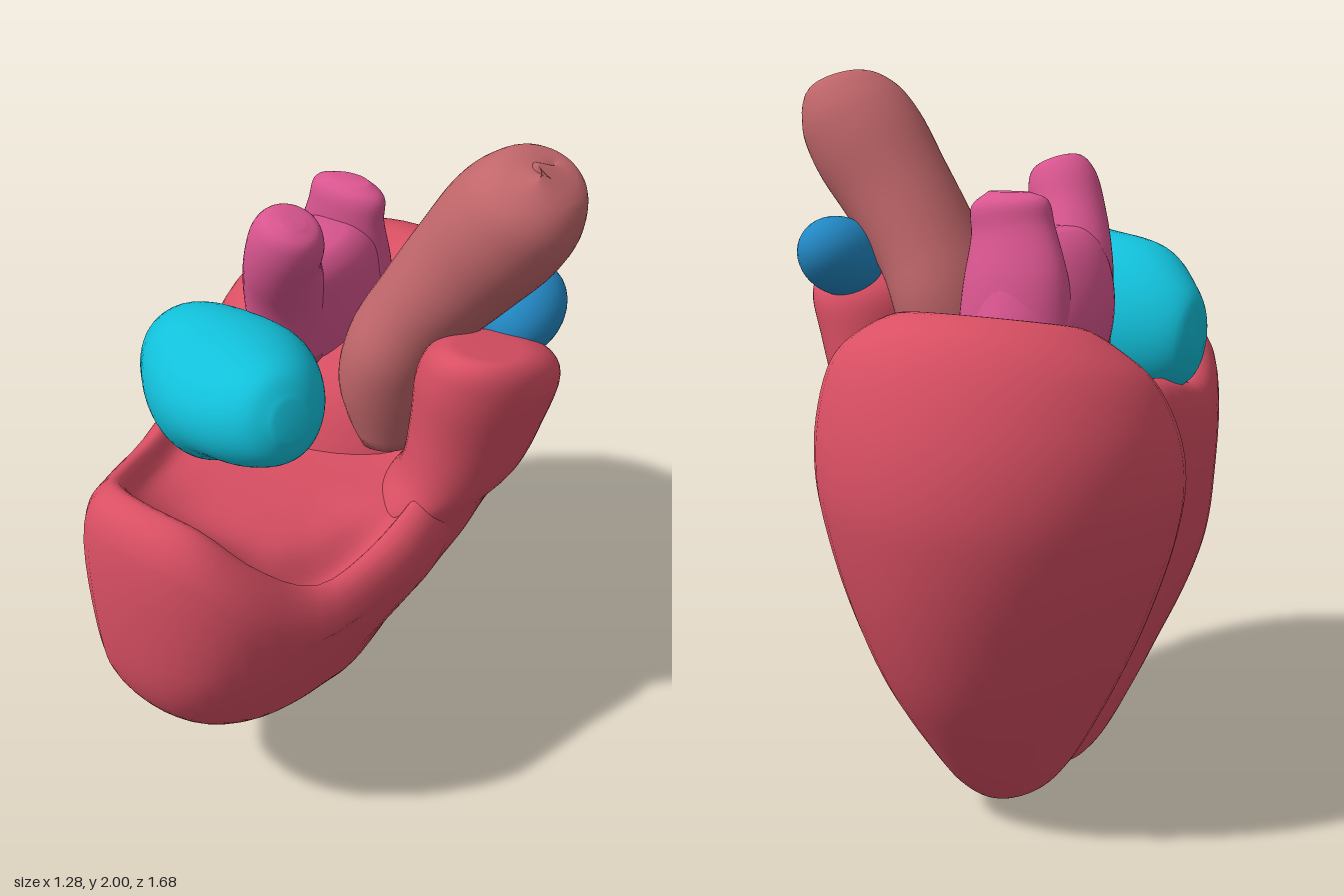
import * as THREE from 'three';

const V = (x, y, z) => new THREE.Vector3(x, y, z);
const N = 48;

// Smooth skin through rings of N points, closed at both ends
function loft(name, color, rings, steps = 5) {
  const cols = [];
  for (let i = 0; i < N; i++) {
    cols.push(new THREE.CatmullRomCurve3(rings.map(r => r[i]), false, 'centripetal'));
  }
  const rows = (rings.length - 1) * steps;
  const pos = [], index = [];
  for (let j = 0; j <= rows; j++) for (const c of cols) pos.push(...c.getPoint(j / rows).toArray());
  const id = (j, i) => j * N + (i % N);
  for (let j = 0; j < rows; j++) for (let i = 0; i < N; i++) {
    index.push(id(j, i), id(j, i + 1), id(j + 1, i), id(j, i + 1), id(j + 1, i + 1), id(j + 1, i));
  }
  for (const j of [0, rows]) {
    const mid = V(0, 0, 0);
    for (let i = 0; i < N; i++) mid.add(V(...pos.slice(id(j, i) * 3, id(j, i) * 3 + 3)));
    const m = pos.length / 3;
    pos.push(...mid.divideScalar(N).toArray());
    for (let i = 0; i < N; i++) {
      if (j) index.push(id(j, i), id(j, i + 1), m);
      else index.push(id(j, i + 1), id(j, i), m);
    }
  }
  // Turn the faces outward if the signed volume is negative
  let vol = 0;
  const at = k => V(pos[k * 3], pos[k * 3 + 1], pos[k * 3 + 2]);
  for (let k = 0; k < index.length; k += 3) vol += at(index[k]).dot(at(index[k + 1]).cross(at(index[k + 2])));
  if (vol < 0) index.reverse();
  const geo = new THREE.BufferGeometry();
  geo.setAttribute('position', new THREE.Float32BufferAttribute(pos, 3));
  geo.setIndex(index);
  geo.computeVertexNormals();
  const mesh = new THREE.Mesh(geo, new THREE.MeshStandardMaterial({ color }));
  mesh.name = name;
  return mesh;
}

// Level ring from its extents, tilted along z
function levelRing([y, x0, x1, z0, z1, tilt = 0, z = 0]) {
  return Array.from({ length: N }, (_, i) => {
    const a = i / N * Math.PI * 2;
    const p = V((x0 + x1) / 2 + Math.cos(a) * (x1 - x0) / 2, y, (z0 + z1) / 2 + Math.sin(a) * (z1 - z0) / 2);
    p.y += tilt * (p.z - z);
    return p;
  });
}

// Vessel along a path of [x, y, z, radius in the xy plane, radius in z]
function vessel(name, color, path) {
  const pts = path.map(p => V(p[0], p[1], p[2]));
  const rings = path.map((p, k) => {
    const t = pts[Math.min(k + 1, pts.length - 1)].clone().sub(pts[Math.max(k - 1, 0)]).normalize();
    const u = V(0, 0, 1).cross(t).normalize(), w = t.clone().cross(u);
    return Array.from({ length: N }, (_, i) => {
      const a = i / N * Math.PI * 2;
      return pts[k].clone().addScaledVector(u, Math.cos(a) * p[3]).addScaledVector(w, Math.sin(a) * p[4]);
    });
  });
  return loft(name, color, rings);
}

// Front chamber: one plan outline fitted to each level, then a wavy rim and a sunken floor
function frontChamber(color) {
  const outline = [
    [-.45, .1, 1.15], [-.43, .4, 1.1], [-.36, .62, 1.15], [-.26, .78, 1.22], [-.1, .83, 1.24],
    [.08, .82, 1.22], [.22, .74, 1.1], [.32, .56, .97], [.38, .35, .99], [.43, .15, 1.08],
    [.4, -.1, 1.1], [.2, -.27, 1.15], [-.1, -.25, 1.15], [-.35, -.1, 1.15],
  ];
  const curve = new THREE.CatmullRomCurve3(outline.map(p => V(p[0], p[2], p[1])), true);
  const plan = Array.from({ length: N }, (_, i) => curve.getPoint(i / N));
  const levels = [
    [0, -.18, -.13, -.03, .03], [.02, -.21, -.08, -.07, .08], [.07, -.25, .0, -.1, .2],
    [.2, -.3, .09, -.16, .4], [.3, -.33, .14, -.19, .54], [.45, -.38, .21, -.22, .7],
    [.6, -.42, .29, -.25, .79], [.78, -.44, .38, -.26, .83],
  ];
  const rings = levels.map(([y, x0, x1, z0, z1]) => plan.map(p => V(
    x0 + (p.x + .45) / .88 * (x1 - x0), y, z0 + (p.z + .27) / 1.1 * (z1 - z0))));
  // Inset toward the middle, drop below the rim, share of floor height
  const rim = [[0, .1, 0], [.06, .02, 0], [.15, 0, 0], [.25, .06, .2], [.45, .06, .8], [.8, 0, 1]];
  for (const [inset, drop, floor] of rim) rings.push(plan.map(p => V(
    THREE.MathUtils.lerp(p.x, 0, inset),
    THREE.MathUtils.lerp(p.y - drop, 1.02, floor),
    THREE.MathUtils.lerp(p.z, .2, inset))));
  return loft('frontChamber', color, rings);
}

export function createModel() {
  const g = new THREE.Group();
  g.name = 'heart';
  const red = 0xd94f63, pink = 0xd9558f, brown = 0xc0666a, cyan = 0x12c0da, blue = 0x2288c4;

  // Rear chamber with a dimple on top
  g.add(loft('rearChamber', red, [
    [.03, -.2, -.12, -.36, -.24], [.05, -.25, -.06, -.42, -.12], [.1, -.29, -.0, -.48, -.03],
    [.2, -.35, .06, -.56, .03], [.4, -.46, .16, -.69, .08], [.6, -.55, .24, -.77, .11],
    [.8, -.62, .3, -.82, .12], [.95, -.645, .33, -.837, .12], [1.1, -.63, .33, -.815, .08, -.06, -.5],
    [1.25, -.565, .29, -.75, .02, -.15, -.5], [1.34, -.48, .2, -.68, -.05, -.2, -.55],
    [1.39, -.38, .1, -.58, -.14, -.2, -.55], [1.36, -.3, .02, -.49, -.22, -.1, -.5], [1.27, -.24, -.05, -.42, -.28],
  ].map(levelRing)));

  g.add(frontChamber(red));

  // Upright lobe on the left side
  g.add(loft('sideLobe', red, [
    [.45, .0, .16, -.1, .1], [.6, .0, .28, -.2, .17], [.8, .08, .39, -.25, .2], [1.0, .18, .475, -.27, .2],
    [1.1, .23, .54, -.28, .17], [1.25, .25, .59, -.28, .165], [1.4, .27, .625, -.27, .18, .15],
    [1.47, .31, .615, -.22, .17, .25], [1.505, .37, .58, -.12, .14, .25], [1.51, .43, .53, -.02, .09, .25],
  ].map(levelRing)));

  // Great vessel leaning to the left, with a small opening at its tip
  g.add(vessel('greatVessel', brown, [
    [.13, 1.05, -.1, .1, .12], [.13, 1.22, -.1, .15, .17], [.16, 1.36, -.1, .15, .19], [.23, 1.5, -.1, .145, .17],
    [.34, 1.66, -.1, .16, .16], [.44, 1.8, -.1, .17, .165], [.5, 1.89, -.1, .15, .15],
    [.53, 1.955, -.1, .1, .1], [.535, 1.97, -.09, .035, .035], [.52, 1.94, -.09, .03, .03],
  ]));

  // Front vessel stump, swelling then turning forward
  g.add(vessel('frontVessel', cyan, [
    [-.47, 1.25, .2, .04, .04], [-.445, 1.25, .2, .12, .09], [-.36, 1.26, .215, .18, .14],
    [-.22, 1.3, .28, .22, .19], [-.06, 1.37, .35, .175, .21], [.07, 1.4, .42, .15, .165],
    [.14, 1.42, .45, .115, .11], [.17, 1.43, .46, .05, .05],
  ]));

  // Forked vein: a broad root with a front and a rear branch
  const vein = new THREE.Group();
  vein.name = 'forkedVein';
  vein.add(
    loft('veinRoot', pink, [
      [1.15, -.32, -.04, -.4, -.04], [1.3, -.37, -.02, -.45, .02], [1.42, -.36, -.02, -.42, .05],
      [1.52, -.31, -.03, -.37, .06], [1.57, -.25, -.07, -.28, .02], [1.58, -.2, -.12, -.2, -.08],
    ].map(levelRing)),
    vessel('frontBranch', pink, [
      [-.2, 1.25, -.08, .12, .12], [-.18, 1.45, -.02, .12, .11], [-.13, 1.6, .06, .105, .1],
      [-.09, 1.69, .09, .1, .09], [-.07, 1.735, .1, .075, .07], [-.065, 1.75, .1, .03, .03],
    ]),
    vessel('rearBranch', pink, [
      [-.18, 1.25, -.32, .17, .12], [-.18, 1.45, -.32, .15, .09], [-.16, 1.58, -.3, .12, .07],
      [-.15, 1.65, -.3, .11, .06], [-.15, 1.68, -.3, .06, .03],
    ]),
  );
  g.add(vein);

  // Small stump behind the side lobe
  const stump = new THREE.Mesh(new THREE.SphereGeometry(1, 32, 20), new THREE.MeshStandardMaterial({ color: blue }));
  stump.name = 'rearStump';
  stump.scale.set(.11, .11, .145);
  stump.position.set(.44, 1.48, -.24);
  stump.rotation.x = .35;
  g.add(stump);
  return g;
}
